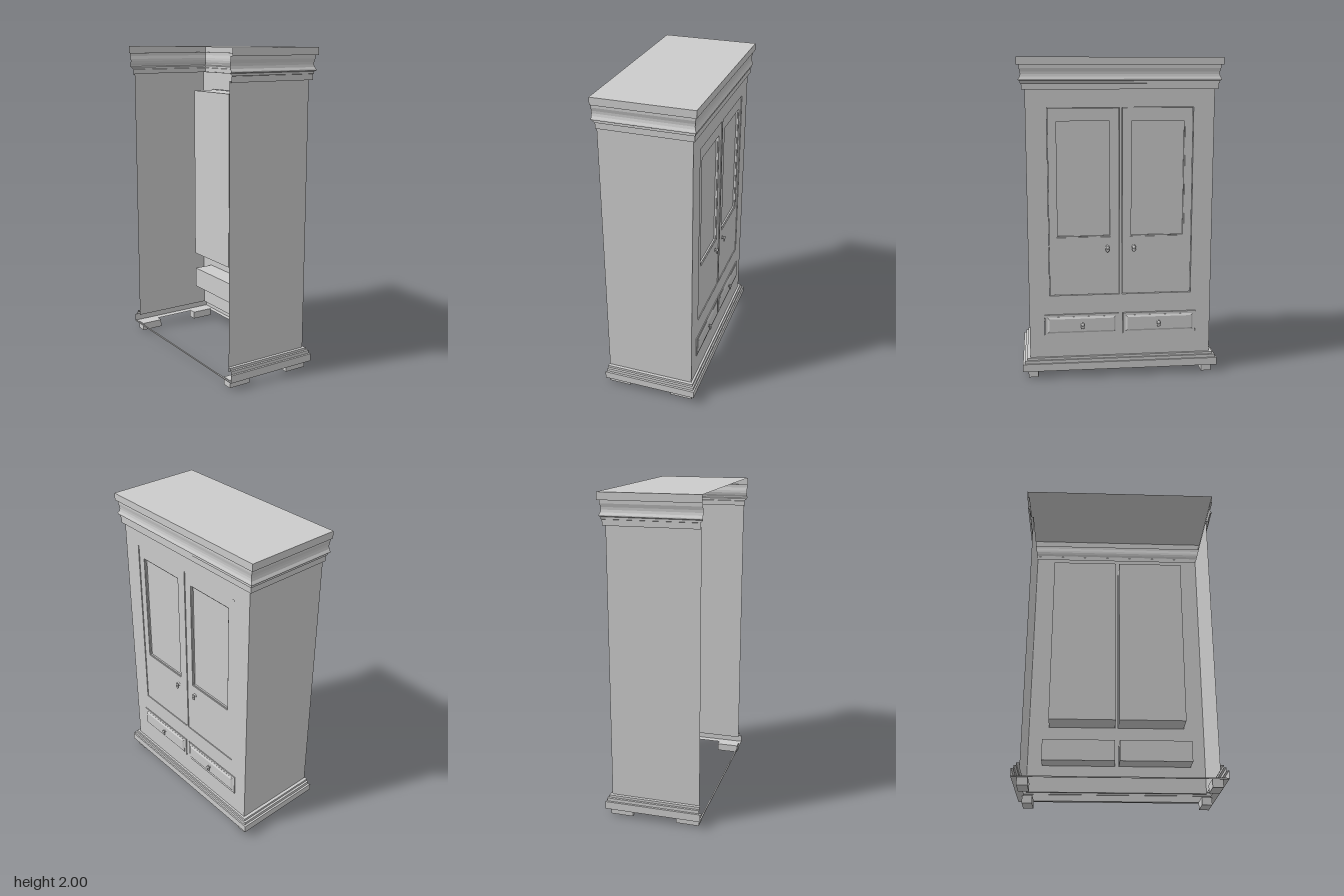
import * as THREE from 'three';

const grey = new THREE.MeshStandardMaterial({ color: 0xcccccc, side: THREE.DoubleSide });
const FRONT = 0.272, SIDE = 0.575, BACK = -0.29;

function add(parent, name, geometry, x = 0, y = 0, z = 0) {
  const mesh = new THREE.Mesh(geometry, grey);
  mesh.name = name;
  mesh.position.set(x, y, z);
  parent.add(mesh);
  return mesh;
}

// Box given by its limits on each axis
function block(parent, name, x0, x1, y0, y1, z0, z1) {
  return add(parent, name, new THREE.BoxGeometry(x1 - x0, y1 - y0, z1 - z0),
    (x0 + x1) / 2, (y0 + y1) / 2, (z0 + z1) / 2);
}

// Moulding swept round side, front and side; profile rows are [overhang, y, back x]
function moulding(profile) {
  const rows = profile.map(([d, y, back]) => {
    const x = FRONT + d * 0.68, z = SIDE + d;
    return [[back, y, -z], [x, y, -z], [x, y, z], [back, y, z]];
  });
  const pos = [];
  for (let j = 0; j < rows.length - 1; j++) {
    for (let i = 0; i < 3; i++) {
      const a = rows[j][i], b = rows[j][i + 1], c = rows[j + 1][i + 1], d = rows[j + 1][i];
      pos.push(...a, ...d, ...b, ...b, ...d, ...c);
    }
  }
  const g = new THREE.BufferGeometry();
  g.setAttribute('position', new THREE.Float32BufferAttribute(pos, 3));
  g.computeVertexNormals();
  return g;
}

function rect(Type, a0, a1, y0, y1) {
  const s = new Type();
  s.moveTo(a0, y0);
  s.lineTo(a1, y0);
  s.lineTo(a1, y1);
  s.lineTo(a0, y1);
  s.closePath();
  return s;
}

// Upright plate facing +x, drawn across the width
function plate(shape, depth, bevel = 0) {
  return new THREE.ExtrudeGeometry(shape, {
    depth, bevelEnabled: bevel > 0, bevelThickness: bevel * 0.6, bevelSize: bevel,
    bevelOffset: -bevel, bevelSegments: 1,
  }).rotateY(Math.PI / 2);
}

// Round knob with a small hanging drop
function knob(parent, name, x, y, z) {
  const g = new THREE.Group();
  g.name = name;
  g.position.set(x, y, z);
  const profile = [[0.013, 0], [0.012, 0.003], [0.005, 0.005], [0.005, 0.01],
    [0.011, 0.013], [0.011, 0.018], [0.006, 0.022], [0, 0.023]];
  add(g, 'knobTurning', new THREE.LatheGeometry(
    profile.map(p => new THREE.Vector2(...p)), 16).rotateZ(-Math.PI / 2), 0, 0.007, 0);
  const drop = add(g, 'knobDrop', new THREE.SphereGeometry(1, 14, 10), 0.014, -0.007, 0);
  drop.scale.set(0.005, 0.016, 0.012);
  parent.add(g);
}

export function createModel() {
  const model = new THREE.Group();
  model.name = 'wardrobe';

  // Carcass: two sides and a front with openings; back and bottom are open
  for (const s of [-1, 1]) {
    const side = new THREE.PlaneGeometry(FRONT - BACK, 1.72);
    if (s < 0) side.rotateY(Math.PI);
    add(model, s > 0 ? 'sidePanelA' : 'sidePanelB', side, (FRONT + BACK) / 2, 0.96, s * SIDE);
  }
  const front = rect(THREE.Shape, -SIDE, SIDE, 0.1, 1.82);
  for (const s of [-1, 1]) {
    front.holes.push(rect(THREE.Path, s * 0.008, s * 0.447, 0.532, 1.702));
    front.holes.push(rect(THREE.Path, s * 0.012, s * 0.482, 0.272, 0.41));
  }
  add(model, 'frontFrame', plate(front, 0.015), FRONT - 0.015);

  // Cornice and roof
  add(model, 'cornice', moulding([
    [0, 1.81, -0.29], [0.02, 1.81, -0.29], [0.02, 1.845, -0.29], [0.026, 1.847, -0.29],
    [0.026, 1.86, -0.305], [0.037, 1.865, -0.305], [0.037, 1.872, -0.305],
    [0.028, 1.885, -0.305], [0.024, 1.9, -0.305], [0.025, 1.915, -0.305],
    [0.031, 1.935, -0.305], [0.031, 1.955, -0.305], [0.047, 1.955, -0.305], [0.047, 2, -0.305],
  ]));
  const roofFront = FRONT + 0.047 * 0.68;
  add(model, 'roof', new THREE.PlaneGeometry(roofFront + 0.305, 2 * (SIDE + 0.047)).rotateX(-Math.PI / 2),
    (roofFront - 0.305) / 2, 2, 0);

  // Stepped plinth with a thin rail along the open back
  add(model, 'plinth', moulding([
    [0, 0.047, -0.305], [0.047, 0.047, -0.305], [0.047, 0.095, -0.305], [0.034, 0.095, -0.295],
    [0.034, 0.115, -0.295], [0.02, 0.115, -0.295], [0.02, 0.13, -0.295], [0, 0.13, -0.295],
  ]));
  block(model, 'backRail', -0.305, -0.297, 0.045, 0.052, -0.62, 0.62);

  for (const s of [-1, 1]) {
    // Feet
    for (const [x0, x1] of [[-0.29, -0.145], [0.135, 0.28]]) {
      const z = [s * 0.525, s * 0.588].sort((a, b) => a - b);
      block(model, 'foot', x0, x1, 0, 0.05, ...z);
    }

    // Door: deep block, framed face and sunken panel with a stepped rim
    const door = new THREE.Group();
    door.name = s > 0 ? 'doorA' : 'doorB';
    model.add(door);
    const span = (a, b) => [s * a, s * b].sort((p, q) => p - q);
    block(door, 'doorCore', 0.1, 0.252, 0.535, 1.699, ...span(0.011, 0.444));
    const face = rect(THREE.Shape, -s * 0.011, -s * 0.444, 0.535, 1.699);
    face.holes.push(rect(THREE.Path, -s * 0.06, -s * 0.398, 0.903, 1.627));
    add(door, 'doorFace', plate(face, 0.016), 0.252);
    const rim = rect(THREE.Shape, -s * 0.06, -s * 0.398, 0.903, 1.627);
    rim.holes.push(rect(THREE.Path, -s * 0.067, -s * 0.391, 0.91, 1.62));
    add(door, 'panelRim', plate(rim, 0.01), 0.252);
    knob(door, 'doorKnob', 0.268, 0.83, s * 0.083);

    // Drawer: box, bevelled front and raised field
    const drawer = new THREE.Group();
    drawer.name = s > 0 ? 'drawerA' : 'drawerB';
    model.add(drawer);
    block(drawer, 'drawerBox', 0.125, 0.277, 0.272, 0.408, ...span(0.015, 0.48));
    const field = rect(THREE.Shape, -s * 0.032, -s * 0.464, 0.288, 0.393);
    add(drawer, 'drawerField', plate(field, 0.002, 0.012), 0.276);
    knob(drawer, 'drawerKnob', 0.282, 0.338, s * 0.242);
  }
  return model;
}
